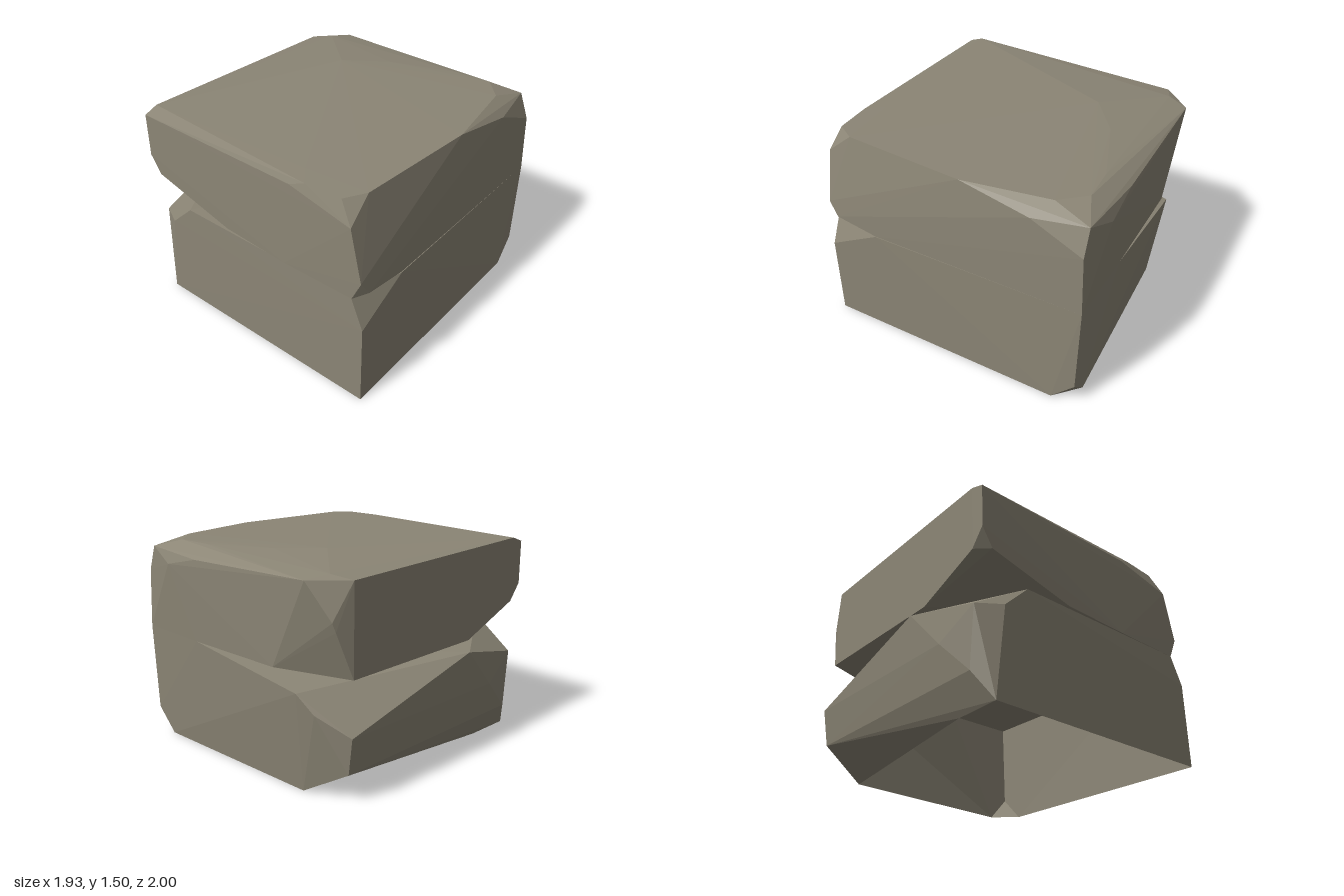
import * as THREE from 'three';
import { ConvexGeometry } from 'three/addons/geometries/ConvexGeometry.js';

const stone = new THREE.MeshStandardMaterial({ color: 0x8b8575, side: THREE.DoubleSide });
stone.name = 'stone';

// Faceted rock hull from its chipped corners; optionally open where it meets the ground
function rock(name, corners, openBase) {
  let geo = new ConvexGeometry(corners.map((c) => new THREE.Vector3(...c)));
  if (openBase) {
    const p = geo.getAttribute('position');
    const kept = [];
    for (let i = 0; i < p.count; i += 3) {
      if (Math.max(p.getY(i), p.getY(i + 1), p.getY(i + 2)) < 0.001) continue;
      for (let j = i; j < i + 3; j++) kept.push(p.getX(j), p.getY(j), p.getZ(j));
    }
    geo = new THREE.BufferGeometry();
    geo.setAttribute('position', new THREE.Float32BufferAttribute(kept, 3));
    geo.computeVertexNormals();
  }
  const mesh = new THREE.Mesh(geo, stone);
  mesh.name = name;
  return mesh;
}

export function createModel() {
  const group = new THREE.Group();
  group.name = 'crackedStoneBlock';

  // Lower half: open underneath, its top falls away towards -x to form the crack floor
  group.add(rock('lowerBlock', [
    // ground outline
    [0.96, 0, 0.97], [-0.82, 0, 0.995], [-0.81, 0, 0.65],
    [-0.57, 0, -0.85], [0.78, 0, -0.945], [0.95, 0, -0.79],
    // chipped back corner
    [0.94, 0.17, -0.955],
    // bulging -x side
    [-0.9, 0.2, -0.77], [-0.91, 0.2, 0.87], [-0.95, 0.45, 0.62],
    // crack floor rim
    [-0.94, 0.46, -0.78], [-0.72, 0.58, -0.89], [-0.6, 0.7, -0.93],
    [-0.97, 0.76, 0.33], [-0.91, 0.625, 0.9], [-0.74, 0.64, 0.985],
    [-0.55, 0.82, 0.98], [0.38, 0.82, -0.97],
    // seam and notch at the +x front corner
    [0.96, 0.61, 0.965], [0.87, 0.82, 0.96], [0.96, 0.82, 0.57], [0.94, 0.82, -0.975],
  ], true));

  // Upper half: overhangs the crack
  group.add(rock('upperBlock', [
    // seam
    [0.33, 0.82, 0.975], [0.87, 0.82, 0.96], [0.955, 0.82, 0.57],
    [0.94, 0.82, -0.975], [0.38, 0.82, -0.97],
    // underside of the overhang
    [-0.18, 0.84, 0.975], [-0.41, 0.83, -0.95], [-0.91, 0.82, -0.74],
    [-0.91, 0.82, 0.39], [-0.91, 1.01, 0.88], [-0.83, 1.0, 0.975],
    [-0.91, 1.13, 0.975], [-0.87, 1.13, -0.85],
    // front +x edge
    [0.955, 0.87, 0.89], [0.94, 0.97, 0.96], [0.86, 1.34, 0.96],
    // front top bevel
    [-0.91, 1.44, 0.97], [0.39, 1.44, 0.96], [-0.91, 1.475, 0.87],
    [0.4, 1.485, 0.82], [0.5, 1.482, 0.94], [0.76, 1.482, 0.92],
    // +x top edge
    [0.845, 1.485, 0.78], [0.905, 1.485, -0.1], [0.925, 1.4, -0.6], [0.93, 1.24, -0.96],
    // back top edge
    [0.86, 1.42, -0.96], [0.63, 1.33, -1.0], [0.33, 1.4, -0.985],
    [-0.71, 1.43, -0.95], [-0.77, 1.455, -0.8], [-0.91, 1.43, -0.74], [-0.86, 1.19, -0.87],
    // top ridge
    [-0.36, 1.5, -0.43], [-0.08, 1.49, -0.65], [0.4, 1.48, -0.84],
    [0.65, 1.48, -0.86], [0.8, 1.483, -0.7],
  ], false));

  return group;
}
